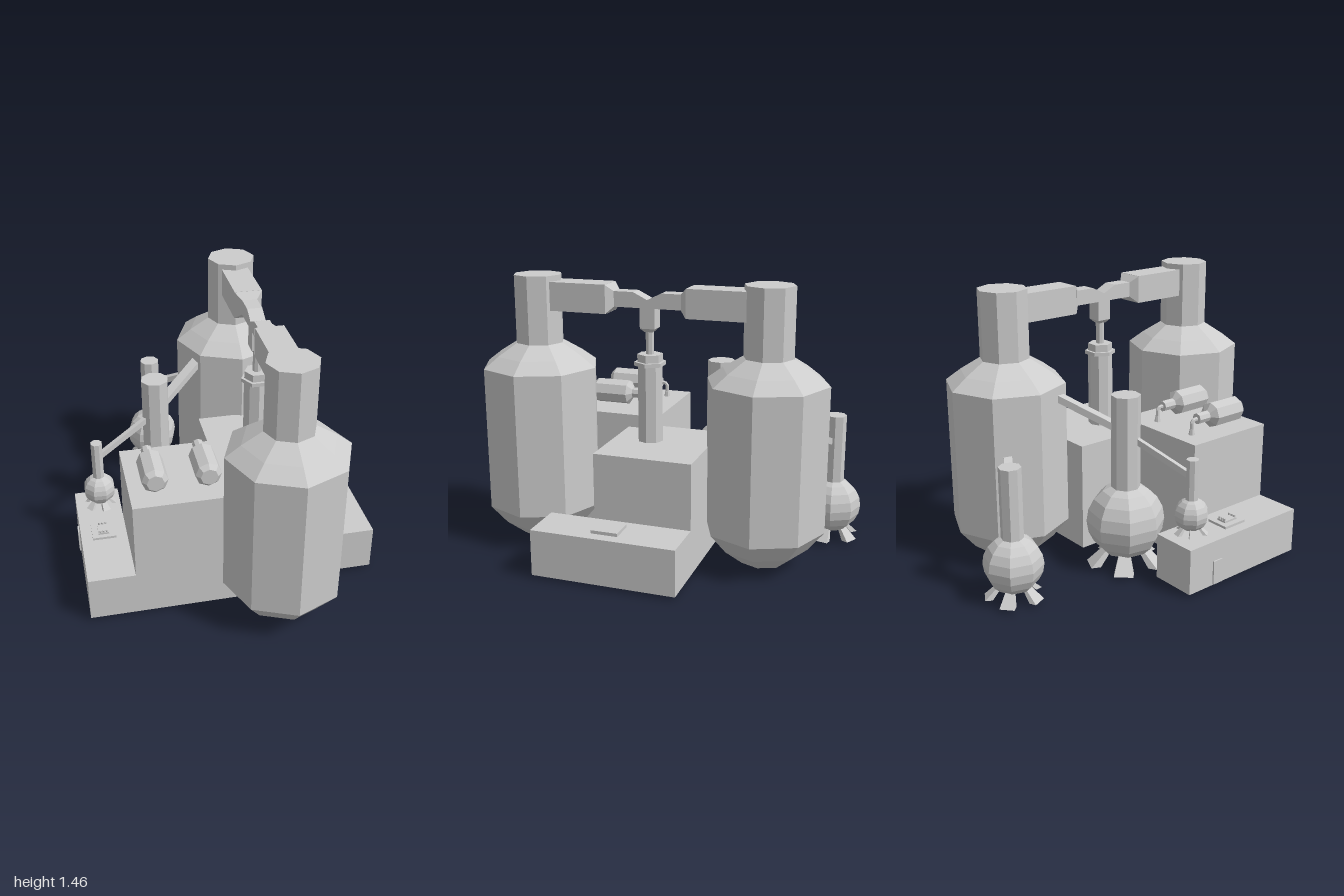
import * as THREE from 'three';

const material = new THREE.MeshStandardMaterial({ color: 0xcccccc, flatShading: true, side: THREE.DoubleSide });

function add(parent, name, geometry, x = 0, y = 0, z = 0) {
  const mesh = new THREE.Mesh(geometry, material);
  mesh.name = name;
  mesh.position.set(x, y, z);
  parent.add(mesh);
  return mesh;
}

function lathe(points, sides = 8) {
  return new THREE.LatheGeometry(points.map(([r, y]) => new THREE.Vector2(r, y)), sides);
}

// Box given by its limits; open boxes have no floor
function block(parent, name, [x0, x1], [y0, y1], [z0, z1], open = false) {
  const g = new THREE.BoxGeometry(x1 - x0, y1 - y0, z1 - z0);
  if (open) g.setIndex(Array.from(g.index.array).filter((_, i) => i < 18 || i > 23));
  return add(parent, name, g, (x0 + x1) / 2, (y0 + y1) / 2, (z0 + z1) / 2);
}

// Square frustum along y, sized by its side lengths
function squareFrustum(top, bottom, height) {
  return new THREE.CylinderGeometry(top * Math.SQRT1_2, bottom * Math.SQRT1_2, height, 4).rotateY(Math.PI / 4);
}

// Square arm between two points
function arm(parent, name, from, to, width, height) {
  const a = new THREE.Vector3(...from), b = new THREE.Vector3(...to);
  const mesh = add(parent, name, new THREE.BoxGeometry(width, height, a.distanceTo(b)));
  mesh.position.copy(a).add(b).multiplyScalar(0.5);
  mesh.lookAt(b);
}

// Round pot on splayed feet with a tall neck
function pot(parent, name, x, y, z, scale, turn) {
  const group = new THREE.Group();
  group.name = name;
  add(group, 'potBody', new THREE.SphereGeometry(0.089, 8, 10), 0, 0.103, 0);
  add(group, 'potNeck', new THREE.CylinderGeometry(0.033, 0.033, 0.23, 8), 0, 0.285, 0);
  const foot = squareFrustum(0.018, 0.044, 0.05).scale(1, 1, 0.5);
  const p = foot.attributes.position;
  for (let i = 0; i < p.count; i++) p.setZ(i, p.getZ(i) - p.getY(i) * 0.9);
  foot.translate(0, 0.025, 0.052);
  for (let i = 0; i < 5; i++) add(group, 'potFoot', foot).rotation.y = i * Math.PI * 2 / 5;
  group.position.set(x, y, z);
  group.scale.setScalar(scale);
  group.rotation.y = turn;
  parent.add(group);
}

export function createModel() {
  const model = new THREE.Group();
  model.name = 'distillery';
  const cx = 0.22, cz = 0.06;

  // Housings
  block(model, 'middleHousing', [-0.03, 0.535], [0.015, 0.61], [-0.265, 0.255], true);
  block(model, 'leftHousing', [0.535, 0.78], [0.015, 0.26], [-0.265, 0.5], true);
  block(model, 'rightHousing', [-0.775, -0.53], [0.015, 0.26], [-0.17, 0.6], true);
  block(model, 'bottleHousing', [-0.53, 0.04], [0.015, 0.68], [0.08, 0.6], true);
  block(model, 'topPlate', [0.595, 0.72], [0.26, 0.277], [0.055, 0.195]);
  block(model, 'sidePlate', [-0.783, -0.775], [0.02, 0.15], [-0.01, 0.05]);

  // Control panel with two rows of knobs
  block(model, 'controlPanel', [-0.715, -0.59], [0.26, 0.273], [0.135, 0.275]);
  block(model, 'knobBase', [-0.682, -0.625], [0.273, 0.283], [0.165, 0.25]);
  for (const x of [-0.67, -0.653, -0.636])
    for (const z of [0.172, 0.243])
      add(model, 'knob', new THREE.CylinderGeometry(0.007, 0.007, 0.02, 6), x, 0.285, z);

  // Two large tanks
  const tank = lathe([[0, 0.02], [0.13, 0.02], [0.23, 0.1], [0.315, 0.205], [0.315, 0.975],
    [0.235, 1.035], [0.13, 1.1], [0.13, 1.46], [0, 1.46]]);
  for (const s of [1, -1]) {
    add(model, 'tank', tank, cx, 0, cz + s * 0.625);
    // Duct and reducer leading towards the middle
    block(model, 'duct', [cx - 0.073, cx + 0.073], [1.28, 1.43],
      s > 0 ? [cz + 0.215, cz + 0.58] : [cz - 0.58, cz - 0.215]);
    const reducer = squareFrustum(0.08, 0.148, 0.035).rotateX(-s * Math.PI / 2);
    add(model, 'ductReducer', reducer, cx, 1.355, cz + s * 0.1975);
  }

  // Junction of the two ducts
  const junction = new THREE.Shape([[-0.18, 1.315], [-0.04, 1.315], [-0.04, 1.21], [0.04, 1.21], [0.04, 1.315],
    [0.18, 1.315], [0.18, 1.395], [0.075, 1.395], [0, 1.358], [-0.075, 1.395], [-0.18, 1.395]]
    .map(([x, y]) => new THREE.Vector2(x, y)));
  add(model, 'ductJunction', new THREE.ExtrudeGeometry(junction, { depth: 0.08, bevelEnabled: false })
    .translate(0, 0, -0.04).rotateY(-Math.PI / 2), cx, 0, cz);
  add(model, 'junctionReducer', squareFrustum(0.08, 0.042, 0.02), cx, 1.2, cz);
  add(model, 'downPipe', new THREE.CylinderGeometry(0.023, 0.023, 0.14, 8), cx, 1.125, cz);

  // Condenser column
  add(model, 'column', new THREE.CylinderGeometry(0.068, 0.068, 1.03, 8), cx, 0.515, cz);
  add(model, 'columnFlange', new THREE.CylinderGeometry(0.084, 0.084, 0.02, 6).rotateY(Math.PI / 6), cx, 1.025, cz);
  add(model, 'columnCap', new THREE.CylinderGeometry(0.067, 0.067, 0.04, 6).rotateY(Math.PI / 6), cx, 1.055, cz);

  // Lying bottles with bent outlets
  const bottle = lathe([[0, 0.215], [0.03, 0.215], [0.03, 0.29], [0.068, 0.315], [0.068, 0.5],
    [0.045, 0.525], [0, 0.525]]).rotateX(Math.PI / 2);
  const bend = new THREE.CurvePath();
  const bendPoints = [[0.22, 0.76], [0.195, 0.76], [0.182, 0.745], [0.182, 0.7]].map(([z, y]) => new THREE.Vector3(0, y, z));
  for (let i = 0; i < 3; i++) bend.add(new THREE.LineCurve3(bendPoints[i], bendPoints[i + 1]));
  for (const x of [-0.4, -0.13]) {
    add(model, 'bottle', bottle, x, 0.76, 0);
    add(model, 'bottleOutlet', new THREE.TubeGeometry(bend, 10, 0.011, 6), x, 0, 0);
    add(model, 'outletCap', new THREE.CylinderGeometry(0.012, 0.018, 0.03, 6), x, 0.695, 0.182);
  }

  // Pots and the arms that feed them
  pot(model, 'largePot', -0.29, 0.02, -0.18, 2.32, 0.2);
  pot(model, 'rearPot', -0.225, 0.02, -0.845, 1.72, 0.1);
  pot(model, 'smallPot', -0.64, 0.27, -0.04, 1, 0.35);
  arm(model, 'largePotArm', [-0.29, 0.75, -0.18], [0.04, 0.94, -0.44], 0.055, 0.036);
  arm(model, 'rearPotArm', [-0.225, 0.55, -0.845], [0.05, 0.69, -0.68], 0.042, 0.034);
  arm(model, 'smallPotArm', [-0.64, 0.575, -0.04], [-0.29, 0.74, -0.18], 0.026, 0.032);

  return model;
}
